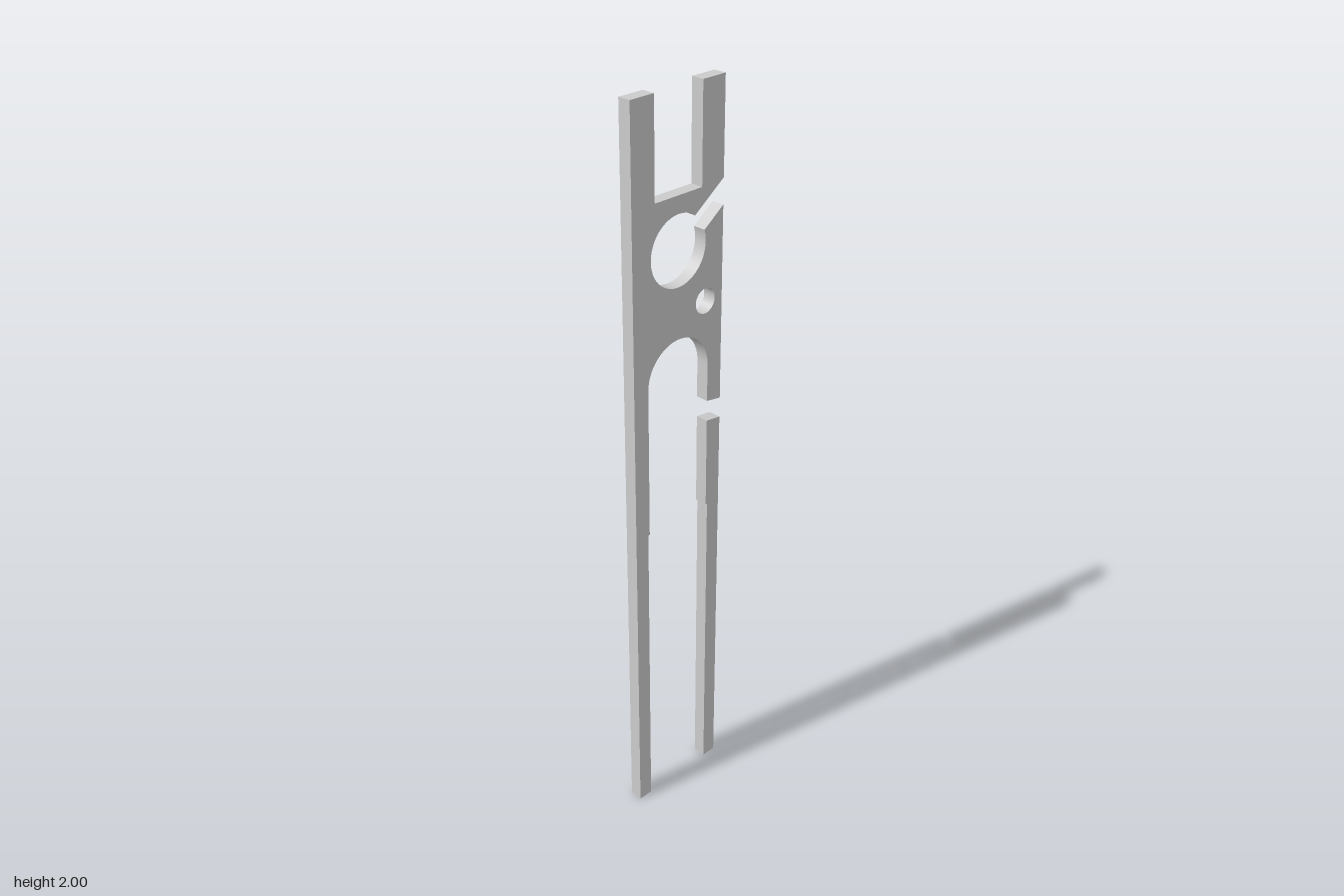
import * as THREE from 'three';

const DEPTH = 0.035;

export function createModel() {
  const group = new THREE.Group();
  const material = new THREE.MeshStandardMaterial({ color: 0xcccccc });

  // Cut a flat part from the sheet, centred on z = 0
  const addPlate = (name, shape) => {
    const geometry = new THREE.ExtrudeGeometry(shape, { depth: DEPTH, bevelEnabled: false, curveSegments: 40 });
    geometry.translate(0, 0, -DEPTH / 2);
    const mesh = new THREE.Mesh(geometry, material);
    mesh.name = name;
    group.add(mesh);
  };
  const lines = (shape, points) => points.forEach(([x, y]) => shape.lineTo(x, y));

  // Forked body with the long leg and the short stub
  const body = new THREE.Shape();
  body.moveTo(-0.15, 0);
  lines(body, [[-0.108, 0], [-0.108, 0.873], [-0.103, 0.873], [-0.103, 1.284]]);
  body.absarc(0, 1.284, 0.103, Math.PI, 0, true);
  lines(body, [[0.103, 1.181], [0.15, 1.173], [0.15, 1.688]]);

  // Round opening, reached through the slanted slot
  const cy = 1.614;
  const lower = Math.atan2(1.643 - cy, 0.087);
  const upper = Math.atan2(1.685 - cy, 0.053);
  body.absarc(0, cy, 0.091, lower, upper, true);
  lines(body, [[0.15, 1.755], [0.15, 2], [0.077, 2], [0.077, 1.75], [-0.077, 1.75], [-0.077, 2], [-0.15, 2]]);
  body.closePath();

  // Small round hole
  const hole = new THREE.Path();
  hole.absarc(0.092, 1.459, 0.033, 0, Math.PI * 2, true);
  body.holes.push(hole);
  addPlate('forkedBody', body);

  // Separate leg below the narrow gap
  const leg = new THREE.Shape();
  leg.moveTo(0.108, 0);
  lines(leg, [[0.15, 0], [0.15, 1.118], [0.103, 1.124], [0.103, 0.873], [0.108, 0.873]]);
  leg.closePath();
  addPlate('separateLeg', leg);

  return group;
}
